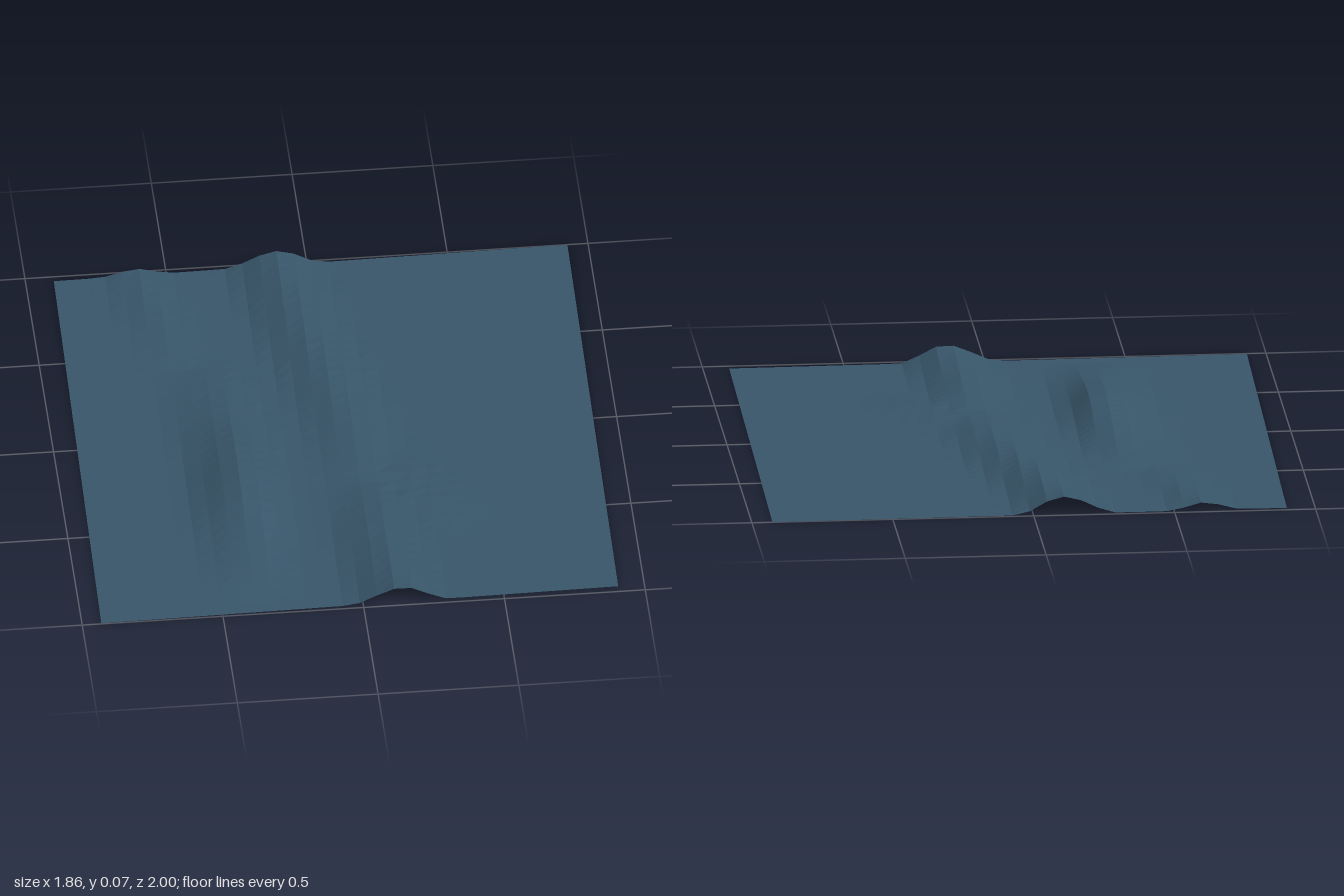
import * as THREE from 'three';

// Ridges: crest points [z, x, height] from back to front, with the reach of each side slope
const ridges = [
  { // long ridge crossing the whole sheet
    left: 0.2, right: 0.17,
    crest: [[-1.02, -0.11, 0.065], [-0.6, -0.05, 0.055], [-0.3, 0.02, 0.047], [0, 0.07, 0.035],
      [0.3, 0.1, 0.016], [0.6, 0.1, 0.045], [1.02, 0.145, 0.066]],
  },
  { // tall central hump
    left: 0.24, right: 0.15,
    crest: [[-0.45, -0.42, 0], [-0.1, -0.37, 0.036], [0.12, -0.35, 0.065], [0.28, -0.345, 0.077],
      [0.42, -0.345, 0.066], [0.58, -0.34, 0.042], [0.92, -0.33, 0]],
  },
  { // low ridge at the back
    left: 0.15, right: 0.12,
    crest: [[-1.02, -0.61, 0.03], [-0.65, -0.54, 0.014], [-0.35, -0.48, 0]],
  },
  { // faint spur on the +x side
    left: 0.2, right: 0.2,
    crest: [[0.05, 0.12, 0], [0.25, 0.17, 0.016], [0.42, 0.3, 0.012], [0.6, 0.34, 0]],
  },
];

function ridgeHeight({ left, right, crest }, x, z) {
  const i = crest.findIndex((p, k) => k > 0 && z >= crest[k - 1][0] && z <= p[0]);
  if (i < 0) return 0;
  const [a, b] = [crest[i - 1], crest[i]];
  const t = (z - a[0]) / (b[0] - a[0]);
  const dx = x - THREE.MathUtils.lerp(a[1], b[1], t);
  const d = Math.min(1, Math.abs(dx) / (dx < 0 ? left : right));
  return THREE.MathUtils.lerp(a[2], b[2], t) * (0.5 + 0.5 * Math.cos(Math.PI * d));
}

export function createModel() {
  const slate = new THREE.MeshStandardMaterial({
    name: 'slate blue', color: 0x38566a, side: THREE.DoubleSide, flatShading: true,
  });

  // Flat grid bent to a slightly skewed outline and raised along the ridges
  const geometry = new THREE.PlaneGeometry(1, 1, 30, 38).rotateX(-Math.PI / 2);
  const pos = geometry.attributes.position;
  const lerp = THREE.MathUtils.lerp;
  for (let i = 0; i < pos.count; i++) {
    const u = pos.getX(i) + 0.5, v = pos.getZ(i) + 0.5;
    const x = lerp(lerp(-0.9, 0.927, u), lerp(-0.932, 0.907, u), v);
    const z = lerp(lerp(-0.975, -1, u), lerp(0.997, 0.97, u), v);
    pos.setXYZ(i, x, Math.max(...ridges.map((r) => ridgeHeight(r, x, z))), z);
  }
  geometry.computeVertexNormals();

  const terrain = new THREE.Mesh(geometry, slate);
  terrain.name = 'terrainSheet';
  const group = new THREE.Group();
  group.name = 'terrain';
  group.add(terrain);
  return group;
}
